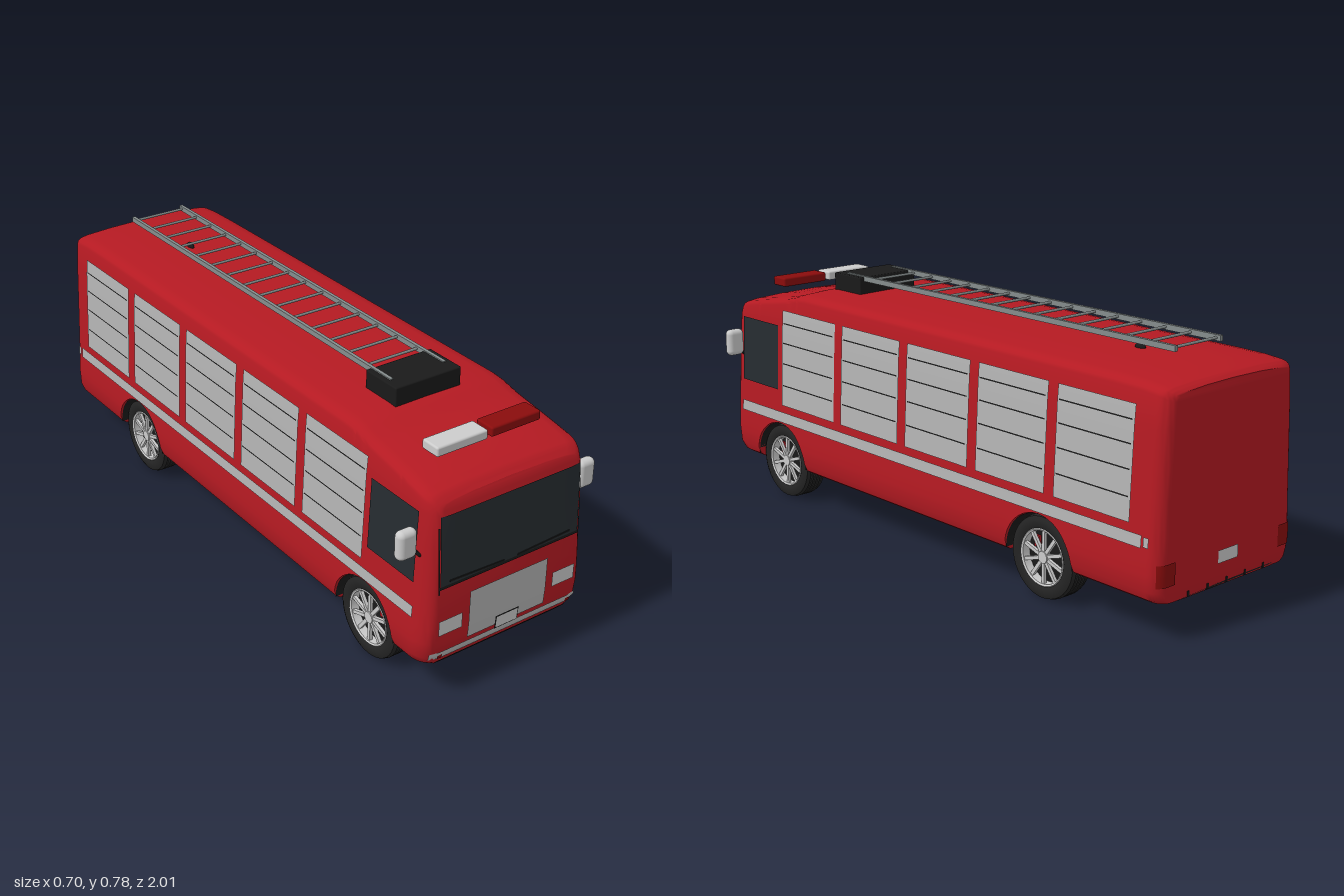
import * as THREE from 'three';
import { toCreasedNormals } from 'three/addons/utils/BufferGeometryUtils.js';
import { RoundedBoxGeometry } from 'three/addons/geometries/RoundedBoxGeometry.js';

const mat = (color) => new THREE.MeshStandardMaterial({ color, side: THREE.DoubleSide });
const RED = mat(0xb51a22), BLACK = mat(0x1a1a1a), GLASS = mat(0x262c30), SILVER = mat(0xb4b4b4);
const WHITE = mat(0xd8d8d8), DARKRED = mat(0x8a0c0c), RAIL = mat(0x858c8c), GREY = mat(0xcccccc), TYRE = mat(0x242424);

const END = 0.998, FRONT_R = 0.06, REAR_R = 0.04, ROUND = 0.14, FLOOR = 0.115;
const WHEEL_Y = 0.127, WHEEL_Z = [0.72, -0.543], ARCH_R = 0.137;

// piecewise linear lookup in a short table of [key, value]
function lookup(table, k) {
  if (k <= table[0][0]) return table[0][1];
  for (let i = 1; i < table.length; i++) {
    const [a, va] = table[i - 1], [b, vb] = table[i];
    if (k <= b) return va + (vb - va) * (k - a) / (b - a);
  }
  return table[table.length - 1][1];
}
const halfWidth = (y) => lookup([[0.115, 0.265], [0.125, 0.28], [0.15, 0.29], [0.2, 0.292], [0.3, 0.286], [0.6, 0.272], [0.72, 0.262]], y);
const roofY = (z) => lookup([[-1, 0.7], [-0.98, 0.712], [-0.93, 0.719], [-0.85, 0.722], [0.6, 0.722], [0.64, 0.718], [0.7, 0.703], [0.78, 0.69], [0.93, 0.668], [0.98, 0.655], [1, 0.635]], z);
const frontLean = (y) => lookup([[0.115, -0.02], [0.15, -0.006], [0.22, 0], [0.35, 0], [0.6, -0.01], [0.66, -0.028]], y);

// plan-view rounding of both ends
function endScale(z) {
  const a = z > 0 ? (z - END + FRONT_R) / FRONT_R : (-z - END + REAR_R) / REAR_R;
  return a <= 0 ? 1 : 1 - ROUND + ROUND * Math.sqrt(Math.max(0, 1 - a * a));
}
function endDrop(x, y, r) {
  const a = Math.min(1, Math.max(0, (Math.abs(x) / halfWidth(y) - 1 + ROUND) / ROUND));
  return r * (1 - Math.sqrt(1 - a * a));
}
function archY(z) {
  let y = FLOOR;
  for (const c of WHEEL_Z) {
    const d = Math.abs(z - c);
    if (d <= ARCH_R + 1e-6) y = WHEEL_Y + Math.sqrt(Math.max(0, ARCH_R ** 2 - d * d));
  }
  return y;
}

// body: cross-sections along z, with wheel wells cut into the lower corners
function bodyGeometry() {
  const zs = [-0.8, -0.2, 0.1, 0.4, 0.6, 0.64, 0.7, 0.78, 0.88, -0.9];
  for (let i = 0; i <= 8; i++) {
    const s = Math.sin(i / 8 * Math.PI / 2);
    zs.push(END - FRONT_R * (1 - s), -END + REAR_R * (1 - s));
  }
  for (const c of WHEEL_Z) {
    for (let i = 0; i <= 20; i++) zs.push(c + ARCH_R * Math.cos(i / 20 * Math.PI));
    zs.push(c - ARCH_R - 0.001, c + ARCH_R + 0.001);
  }
  zs.sort((a, b) => a - b);
  const pos = [], idx = [];
  let n = 0, half = 0;
  for (const z of zs) {
    const s = endScale(z), arch = archY(z), top = roofY(z);
    const pts = [[0, FLOOR], [0.17, FLOOR], [0.17, arch]];
    for (const y of [0.115, 0.125, 0.15, 0.2, 0.25, 0.3, 0.4, 0.5, 0.6, top - 0.028]) {
      const yy = Math.max(y, arch);
      pts.push([halfWidth(yy) * s, yy]);
    }
    const w = halfWidth(top - 0.02) * s;
    pts.push([w - 0.003, top - 0.019], [w - 0.012, top - 0.012], [w - 0.04, top - 0.007], [w * 0.5, top - 0.002], [0, top]);
    half = pts.length;
    const ring = pts.concat(pts.slice(1, -1).reverse().map(([x, y]) => [-x, y]));
    n = ring.length;
    const lean = Math.min(1, Math.max(0, (z - 0.8) / 0.19));
    for (const [x, y] of ring) pos.push(x, y, z + lean * frontLean(y));
  }
  for (let i = 0; i < zs.length - 1; i++) for (let j = 0; j < n; j++) {
    const a = i * n + j, b = i * n + (j + 1) % n;
    idx.push(a, b, b + n, a, b + n, a + n);
  }
  const last = (zs.length - 1) * n;
  for (let k = 0; k < half - 1; k++) {
    const m = (n - k) % n, m1 = n - k - 1;
    idx.push(last + k, last + k + 1, last + m1, last + k, last + m1, last + m);
    idx.push(k, m1, k + 1, k, m, m1);
  }
  const g = new THREE.BufferGeometry();
  g.setAttribute('position', new THREE.Float32BufferAttribute(pos, 3));
  g.setIndex(idx);
  return toCreasedNormals(g, 0.6);
}

// thin panels that follow the body surface
const onFront = (o) => (u, v) => [u, v, END - endDrop(u, v, FRONT_R) + frontLean(v) + o];
const onRear = (o) => (u, v) => [-u, v, -END + endDrop(u, v, REAR_R) - o];
const onSide = (sx, o) => (u, v) => [sx * (halfWidth(v) * endScale(u) + o), v, u];

export function createModel() {
  const root = new THREE.Group();
  const add = (name, geo, material, x = 0, y = 0, z = 0, parent = root) => {
    const m = new THREE.Mesh(geo, material);
    m.name = name;
    m.position.set(x, y, z);
    parent.add(m);
    return m;
  };
  const box = (name, material, w, h, d, x, y, z, parent) => add(name, new THREE.BoxGeometry(w, h, d), material, x, y, z, parent);
  const panel = (name, material, u0, u1, v0, v1, place) => {
    const g = new THREE.PlaneGeometry(1, 1, 16, 6), p = g.attributes.position;
    for (let i = 0; i < p.count; i++)
      p.setXYZ(i, ...place(u0 + (u1 - u0) * (p.getX(i) + 0.5), v0 + (v1 - v0) * (p.getY(i) + 0.5)));
    // turn the faces outward where the mapping mirrors them
    const mid = place((u0 + u1) / 2, (v0 + v1) / 2), du = place(u1, v0), o = place(u0, v0), dv = place(u0, v1);
    const nrm = new THREE.Vector3().subVectors(new THREE.Vector3(...du), new THREE.Vector3(...o))
      .cross(new THREE.Vector3().subVectors(new THREE.Vector3(...dv), new THREE.Vector3(...o)));
    if (nrm.x * mid[0] + nrm.z * mid[2] < 0) g.setIndex(Array.from(g.index.array).reverse());
    g.computeVertexNormals();
    return add(name, g, material);
  };

  add('body', bodyGeometry(), RED);

  // sides: cab window, roller shutters, stripe, sill lines
  for (const s of [1, -1]) {
    panel('cabWindow', GLASS, 0.73, 0.935, 0.38, 0.6, onSide(s, 0.004));
    for (let i = 0; i < 5; i++) {
      const z1 = 0.707 - i * 0.3275, z0 = z1 - 0.29;
      panel('shutter', SILVER, z0, z1, 0.33, 0.655, onSide(s, 0.004));
      for (const y of [0.4, 0.475, 0.545, 0.612])
        panel('shutterGroove', BLACK, z0 + 0.008, z1 - 0.008, y - 0.002, y + 0.002, onSide(s, 0.0055));
    }
    panel('sideStripe', SILVER, -0.94, 0.94, 0.27, 0.306, onSide(s, 0.004));
    panel('stripeEnd', SILVER, -0.965, -0.947, 0.275, 0.303, onSide(s, 0.004));
    for (const x of [0.225, 0.25]) box('sillLine', BLACK, 0.01, 0.006, 0.97, s * x, FLOOR, 0.088);
  }

  // front: windscreen, grille, lamps, bumper
  panel('windscreen', GLASS, -0.246, 0.246, 0.383, 0.598, onFront(0.004));
  panel('windscreenSeal', BLACK, -0.248, 0.248, 0.374, 0.383, onFront(0.004));
  panel('grillePanel', SILVER, -0.14, 0.14, 0.175, 0.33, onFront(0.004));
  panel('bumperStrip', SILVER, -0.268, 0.268, 0.139, 0.163, onFront(0.004));
  panel('frontLip', BLACK, -0.24, 0.24, 0.118, 0.125, onFront(0.003));
  panel('plateFrame', BLACK, -0.042, 0.042, 0.162, 0.207, onFront(0.006));
  panel('frontPlate', WHITE, -0.039, 0.039, 0.165, 0.204, onFront(0.008));
  for (const s of [1, -1]) {
    panel('headlight', WHITE, s * 0.205 - 0.041, s * 0.205 + 0.041, 0.223, 0.271, onFront(0.004));
    panel('fogLight', DARKRED, s * 0.235 - 0.008, s * 0.235 + 0.008, 0.142, 0.155, onFront(0.006));
    // wiper and windscreen pillar trim
    const wiper = box('wiper', BLACK, 0.19, 0.005, 0.005, s * 0.12, 0.39, 1.0);
    wiper.rotation.z = s * 0.04;
    panel('pillarTrim', BLACK, s * 0.25 - 0.002, s * 0.25 + 0.002, 0.36, 0.565, onFront(0.004));
    // mirror and its arm
    add('mirror', new RoundedBoxGeometry(0.062, 0.09, 0.036, 5, 0.017), GREY, s * 0.318, 0.515, 0.935);
    const arm = new THREE.CatmullRomCurve3([[0.26, 0.455, 0.945], [0.282, 0.475, 0.945], [0.3, 0.5, 0.935]]
      .map(([x, y, z]) => new THREE.Vector3(s * x, y, z)));
    add('mirrorArm', new THREE.TubeGeometry(arm, 8, 0.005, 8), BLACK);
    // tail lamp
    panel('tailLight', DARKRED, s * 0.25 - 0.031, s * 0.25 + 0.031, 0.165, 0.23, onRear(0.003));
  }

  // rear: plate and lower lip with studs
  panel('rearPlate', WHITE, -0.042, 0.042, 0.18, 0.218, onRear(0.003));
  box('rearLip', BLACK, 0.4, 0.008, 0.02, 0, 0.118, -0.988);
  for (let i = -2; i <= 2; i++) box('rearStud', BLACK, 0.008, 0.016, 0.008, i * 0.08, 0.124, -0.996);

  // roof: light bar, equipment box, ladder, antenna
  const lamp = new RoundedBoxGeometry(0.175, 0.03, 0.066, 3, 0.006);
  add('whiteBeacon', lamp, WHITE, -0.094, 0.72, 0.853);
  add('redBeacon', lamp, DARKRED, 0.094, 0.72, 0.853);
  add('ladderBox', new RoundedBoxGeometry(0.232, 0.062, 0.138, 2, 0.004), BLACK, 0, 0.745, 0.553);
  const ladder = new THREE.Group();
  ladder.name = 'ladder';
  root.add(ladder);
  for (const s of [1, -1]) box('ladderRail', RAIL, 0.011, 0.017, 1.445, s * 0.094, 0.771, -0.148, ladder);
  const rung = new THREE.CylinderGeometry(0.0045, 0.0045, 0.186, 8).rotateZ(Math.PI / 2);
  for (let i = 0; i < 16; i++) add('ladderRung', rung, RAIL, 0, 0.771, -0.855 + i * 0.0935, ladder);
  add('antennaBase', new THREE.SphereGeometry(0.015, 12, 8), BLACK, 0, 0.724, -0.655).scale.set(0.6, 0.9, 1.3);

  // wheels: grooved tyre, spoked rim, black wheel well
  const v = (r, x) => new THREE.Vector2(r, x);
  const tread = [];
  for (const x of [-0.021, -0.007, 0.007, 0.021])
    tread.push(v(0.127, x - 0.0025), v(0.122, x - 0.0015), v(0.122, x + 0.0015), v(0.127, x + 0.0025));
  const tyreProfile = [v(0.086, -0.036), v(0.095, -0.041), v(0.112, -0.041), v(0.123, -0.036), ...tread,
    v(0.123, 0.036), v(0.112, 0.041), v(0.095, 0.041), v(0.086, 0.036)];
  const spin = (pts) => toCreasedNormals(new THREE.LatheGeometry(pts, 40).rotateZ(-Math.PI / 2), 0.6);
  const tyre = spin(tyreProfile);
  const rim = spin([v(0.08, -0.036), v(0.088, -0.036), v(0.088, 0.036), v(0.085, 0.039), v(0.08, 0.036), v(0.078, -0.036)]);
  const disc = new THREE.CylinderGeometry(0.08, 0.08, 0.004, 32).rotateZ(Math.PI / 2);
  const hub = new THREE.CylinderGeometry(0.018, 0.022, 0.016, 20).rotateZ(-Math.PI / 2);
  const liner = new THREE.CylinderGeometry(0.135, 0.135, 0.114, 32, 1, true, Math.PI, Math.PI).rotateZ(-Math.PI / 2);
  const wall = new THREE.CircleGeometry(0.135, 32, 0, Math.PI).rotateY(Math.PI / 2);
  for (const z of WHEEL_Z) for (const s of [1, -1]) {
    const wheel = new THREE.Group();
    wheel.name = (z > 0 ? 'front' : 'rear') + (s > 0 ? 'Left' : 'Right') + 'Wheel';
    wheel.position.set(s * 0.233, WHEEL_Y, z);
    if (s < 0) wheel.rotation.y = Math.PI;
    root.add(wheel);
    add('tyre', tyre, TYRE, 0, 0, 0, wheel);
    add('rim', rim, GREY, 0, 0, 0, wheel);
    add('brakeDisc', disc, BLACK, 0.008, 0, 0, wheel);
    add('hub', hub, GREY, 0.028, 0, 0, wheel);
    box('brakeCaliper', RED, 0.008, 0.035, 0.022, 0.013, 0.035, s * 0.042, wheel);
    for (let i = 0; i < 10; i++) {
      const a = i / 10 * Math.PI * 2;
      const spoke = box('spoke', GREY, 0.01, 0.068, 0.011, 0.028, Math.cos(a) * 0.048, Math.sin(a) * 0.048, wheel);
      spoke.rotation.x = a;
    }
    add('archLiner', liner, BLACK, -0.005, 0, 0, wheel);
    add('wellWall', wall, BLACK, -0.061, 0, 0, wheel);
  }
  return root;
}
